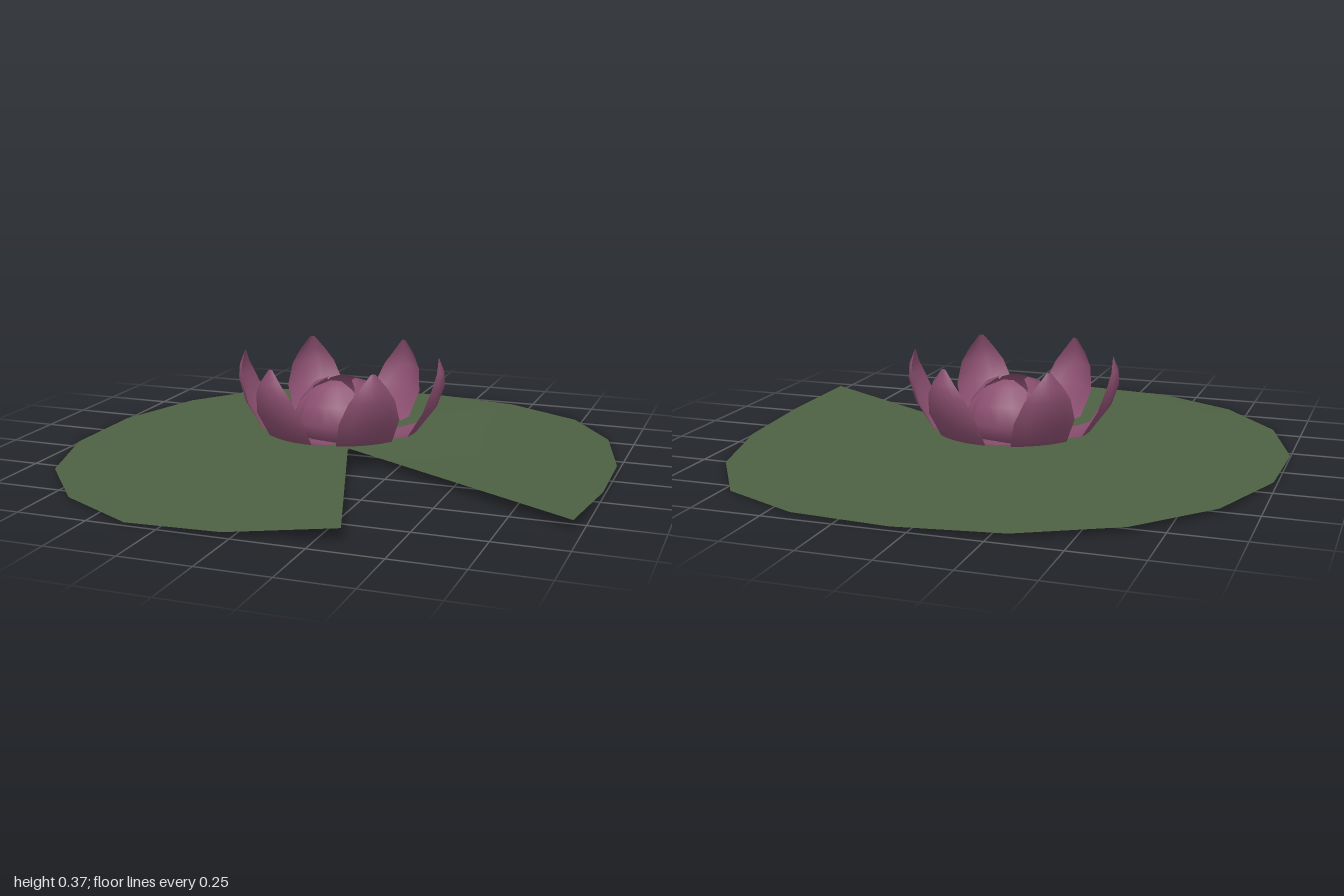
import * as THREE from 'three';

const leafGreen = new THREE.MeshStandardMaterial({ color: 0x4d6143, side: THREE.DoubleSide });
leafGreen.name = 'leafGreen';
const petalPink = new THREE.MeshStandardMaterial({ color: 0x8b4f70, side: THREE.DoubleSide });
petalPink.name = 'petalPink';

function surface(positions, index) {
  const g = new THREE.BufferGeometry();
  g.setAttribute('position', new THREE.Float32BufferAttribute(positions, 3));
  g.setIndex(index);
  g.computeVertexNormals();
  return g;
}

// Notched leaf: a shallow fan whose notch corners lift slightly
function createPad() {
  const rim = [
    [0.33, 0.045, 0.91], [-0.03, 0.015, 0.99], [-0.37, 0.005, 0.985], [-0.67, 0.005, 0.82],
    [-0.89, 0.005, 0.55], [-1, 0.005, 0.2], [-0.99, 0.01, -0.16], [-0.87, 0.015, -0.51],
    [-0.64, 0.02, -0.79], [-0.31, 0.015, -0.95], [0.06, 0.01, -0.99], [0.42, 0.005, -0.95],
    [0.72, 0, -0.8], [0.9, 0.005, -0.52], [0.99, 0.01, -0.16], [1, 0.02, 0.2], [0.97, 0.037, 0.57],
  ];
  const index = [];
  for (let i = 1; i < rim.length; i++) index.push(0, i + 1, i);
  const pad = new THREE.Mesh(surface([0.03, 0.03, 0.02, ...rim.flat()], index), leafGreen);
  pad.name = 'lilyPad';
  return pad;
}

// Petal cross-sections: [radius, height, half width, cupping], from base to tip
const OUTER = [
  [0.03, 0.035, 0.03, 0], [0.15, 0.065, 0.065, 0.005], [0.29, 0.097, 0.105, 0.02],
  [0.36, 0.19, 0.112, 0.035], [0.388, 0.27, 0.085, 0.035], [0.385, 0.32, 0.05, 0.02], [0.365, 0.37, 0.008, 0],
];
const INNER = [
  [0.02, 0.035, 0.03, 0], [0.13, 0.07, 0.09, 0.02], [0.17, 0.13, 0.16, 0.07],
  [0.15, 0.2, 0.13, 0.06], [0.1, 0.26, 0.07, 0.02], [0.05, 0.28, 0.02, 0],
];

function petalGeometry(rows) {
  const across = 6, positions = [], index = [];
  rows.forEach(([r, y, w, cup], j) => {
    for (let i = 0; i <= across; i++) {
      const u = (i / across) * 2 - 1;
      positions.push(r - cup * u * u, y, w * u);
      if (j && i) {
        const d = j * (across + 1) + i, b = d - across - 1;
        index.push(b - 1, b, d, b - 1, d, d - 1);
      }
    }
  });
  return surface(positions, index);
}

function petalRing(name, rows, count, startDegrees) {
  const ring = new THREE.Group();
  ring.name = name + 's';
  const geometry = petalGeometry(rows);
  for (let k = 0; k < count; k++) {
    const petal = new THREE.Mesh(geometry, petalPink);
    petal.name = name;
    petal.rotation.y = -THREE.MathUtils.degToRad(startDegrees + (k * 360) / count);
    ring.add(petal);
  }
  return ring;
}

export function createModel() {
  const model = new THREE.Group();
  model.name = 'waterLily';
  const flower = new THREE.Group();
  flower.name = 'flower';
  flower.position.set(-0.02, 0, -0.04);
  flower.add(petalRing('outerPetal', OUTER, 6, -8), petalRing('innerPetal', INNER, 4, 0));
  model.add(createPad(), flower);
  return model;
}
